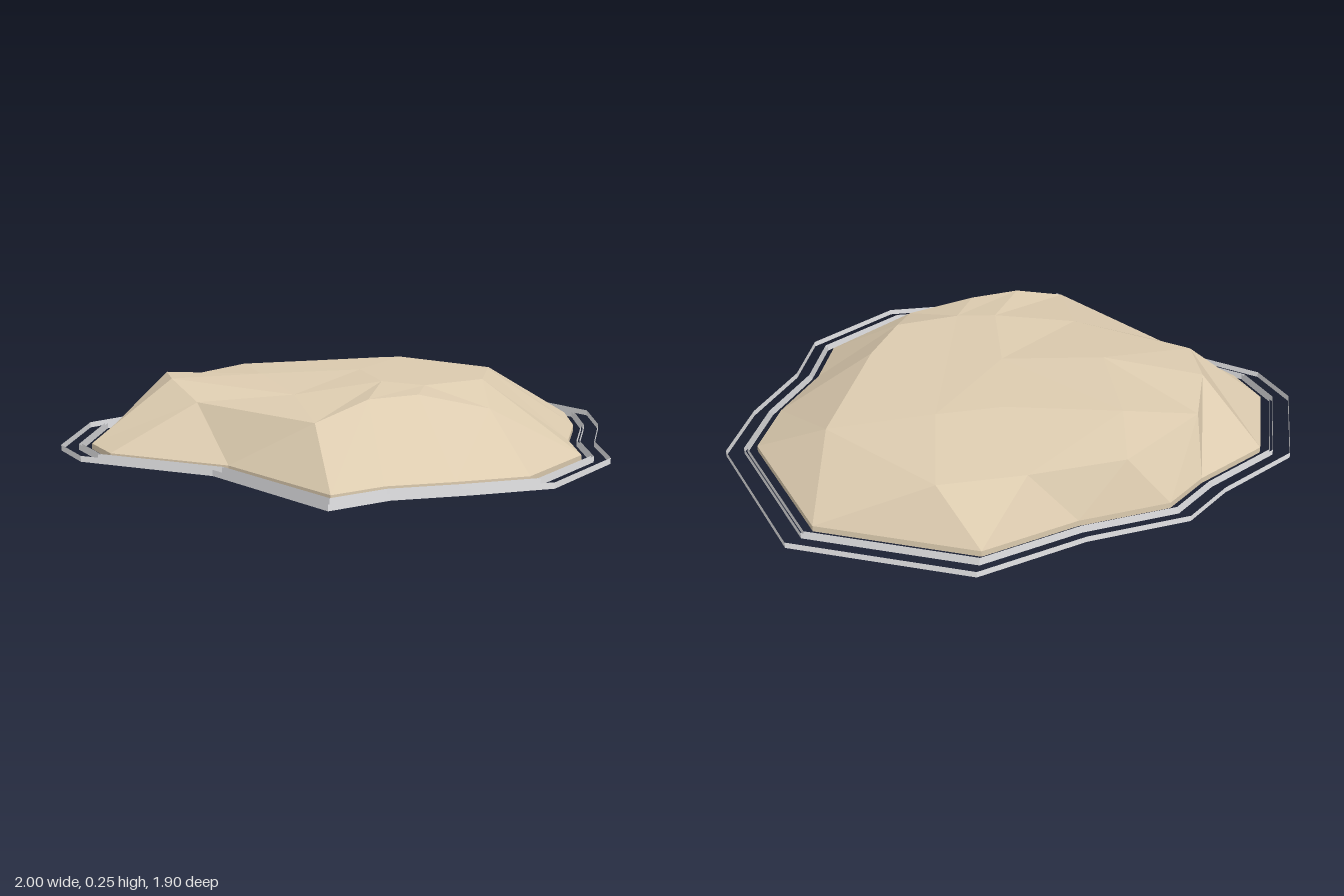
import * as THREE from 'three';

// Shoreline corners [x, z], running clockwise seen from above
const SHORE = [
  [0.165, -0.955], [0.74, -0.78], [0.995, -0.25], [0.935, 0.015], [0.81, 0.29], [0.765, 0.545],
  [0.475, 0.82], [0.205, 0.85], [-0.04, 0.865], [-0.235, 0.945], [-0.52, 0.475], [-0.93, 0.2],
  [-1, 0.015], [-0.91, -0.365], [-0.65, -0.56], [-0.51, -0.71], [-0.175, -0.8],
];
const LIP = 0.02;

// Shoulder of the mound [x, y, z]; repeated corners merge facets
const east = [0.635, 0.18, -0.39], south = [0.38, 0.18, 0.455], west = [-0.545, 0.18, 0.17];
const SHOULDER = [
  [0.28, 0.18, -0.735], east, east, [0.505, 0.24, 0.015], [0.42, 0.24, 0.235], south,
  south, [0.14, 0.235, 0.465], [-0.035, 0.235, 0.52], [-0.215, 0.18, 0.59], west, west,
  [-0.62, 0.235, 0], [-0.63, 0.23, -0.185], [-0.585, 0.18, -0.36], [-0.315, 0.18, -0.625], [0, 0.18, -0.695],
];

// Corners of the nearly flat crown
const A = [0.28, 0.23, -0.4], B = [0.06, 0.23, -0.365], C = [-0.33, 0.22, -0.395], D = [-0.305, 0.235, -0.05];
const E = [-0.235, 0.215, 0.28], F = [0.06, 0.25, 0.275], G = [0.2, 0.237, 0.305];
const CROWN = [A, A, A, G, G, G, G, G, F, E, E, E, D, D, C, C, B];
const SUMMIT = SHORE.map(() => [0.05, 0.24, -0.05]);

// Shoreline loop at a given scale and height
const loop = (scale, y) => SHORE.map(([x, z]) => [x * scale, y, z * scale]);

// Faceted surface joining successive loops, skipping collapsed triangles
function skin(loops) {
  const pos = [];
  const tri = (p, q, r) => {
    if (p.join() !== q.join() && q.join() !== r.join() && r.join() !== p.join()) pos.push(...p, ...q, ...r);
  };
  for (let k = 0; k < loops.length - 1; k++) {
    const lo = loops[k], hi = loops[k + 1], n = lo.length;
    for (let i = 0; i < n; i++) {
      const j = (i + 1) % n;
      tri(lo[i], hi[i], lo[j]);
      tri(lo[j], hi[i], hi[j]);
    }
  }
  const geo = new THREE.BufferGeometry();
  geo.setAttribute('position', new THREE.Float32BufferAttribute(pos, 3));
  geo.computeVertexNormals();
  return geo;
}

export function createModel() {
  const material = (name, color) => {
    const m = new THREE.MeshStandardMaterial({ color, flatShading: true, side: THREE.DoubleSide });
    m.name = name;
    return m;
  };
  const sand = material('sand', 0xdccbaf);
  const foam = material('foam', 0xe6e6e8);

  const group = new THREE.Group();
  group.name = 'island';
  const add = (name, loops, mat) => {
    const mesh = new THREE.Mesh(skin(loops), mat);
    mesh.name = name;
    group.add(mesh);
  };

  // Open sand mound with a short upright lip
  add('sandMound', [loop(0.897, 0), loop(0.897, LIP), SHOULDER, CROWN, SUMMIT], sand);

  // Thin upright foam bands around the shore
  [['innerFoamBand', 0.93], ['middleFoamBand', 0.941], ['outerFoamBand', 1]].forEach(([name, s]) =>
    add(name, [loop(s, 0), loop(s, LIP)], foam));

  return group;
}
